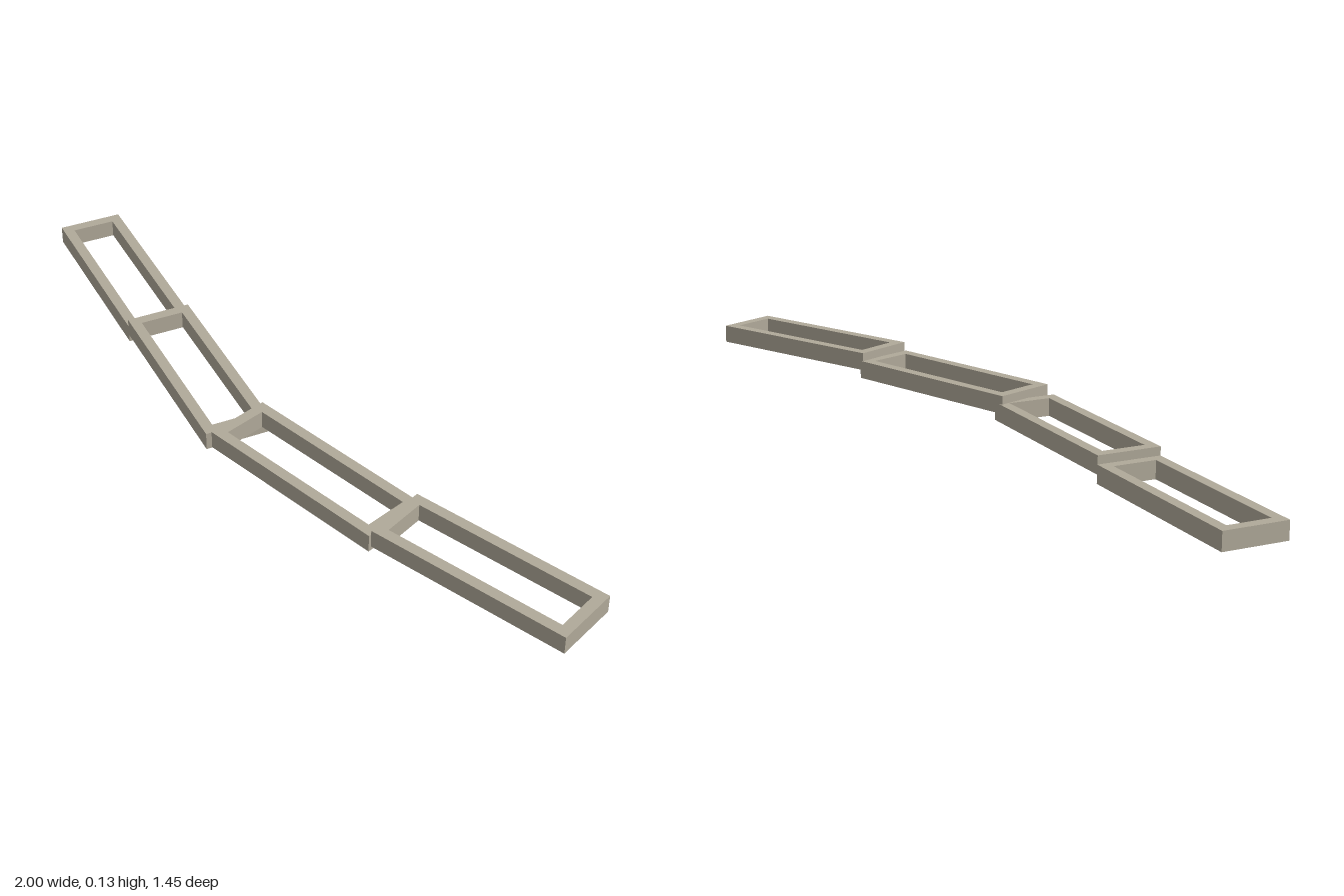
import * as THREE from 'three';

const LENGTH = 0.587, WIDTH = 0.188, HEIGHT = 0.052, WALL = 0.031, STEP = 0.0245;

// Centred rectangle outline, traced onto a Shape or a Path
function traceRect(path, w, d) {
  path.moveTo(-w / 2, -d / 2);
  path.lineTo(w / 2, -d / 2);
  path.lineTo(w / 2, d / 2);
  path.lineTo(-w / 2, d / 2);
  path.closePath();
  return path;
}

export function createModel() {
  const model = new THREE.Group();
  model.name = 'steppedFrames';

  const stone = new THREE.MeshStandardMaterial({ color: 0xb0a999 });
  stone.name = 'warm grey stone';

  // Open rectangular frame lying flat, its base at y = 0
  const outline = traceRect(new THREE.Shape(), LENGTH, WIDTH);
  outline.holes.push(traceRect(new THREE.Path(), LENGTH - 2 * WALL, WIDTH - 2 * WALL));
  const frame = new THREE.ExtrudeGeometry(outline, { depth: HEIGHT, bevelEnabled: false });
  frame.rotateX(-Math.PI / 2);

  // Four overlapping frames climbing along a bend: centre x, centre z, heading in degrees
  const steps = [
    [-0.727, -0.448, 45.3],
    [-0.315, -0.031, 45.2],
    [0.153, 0.301, 25.7],
    [0.692, 0.533, 20.4],
  ];
  steps.forEach(([x, z, heading], i) => {
    const mesh = new THREE.Mesh(frame, stone);
    mesh.name = `stepFrame${i + 1}`;
    mesh.position.set(x, i * STEP, z);
    mesh.rotation.y = -THREE.MathUtils.degToRad(heading);
    model.add(mesh);
  });

  return model;
}
